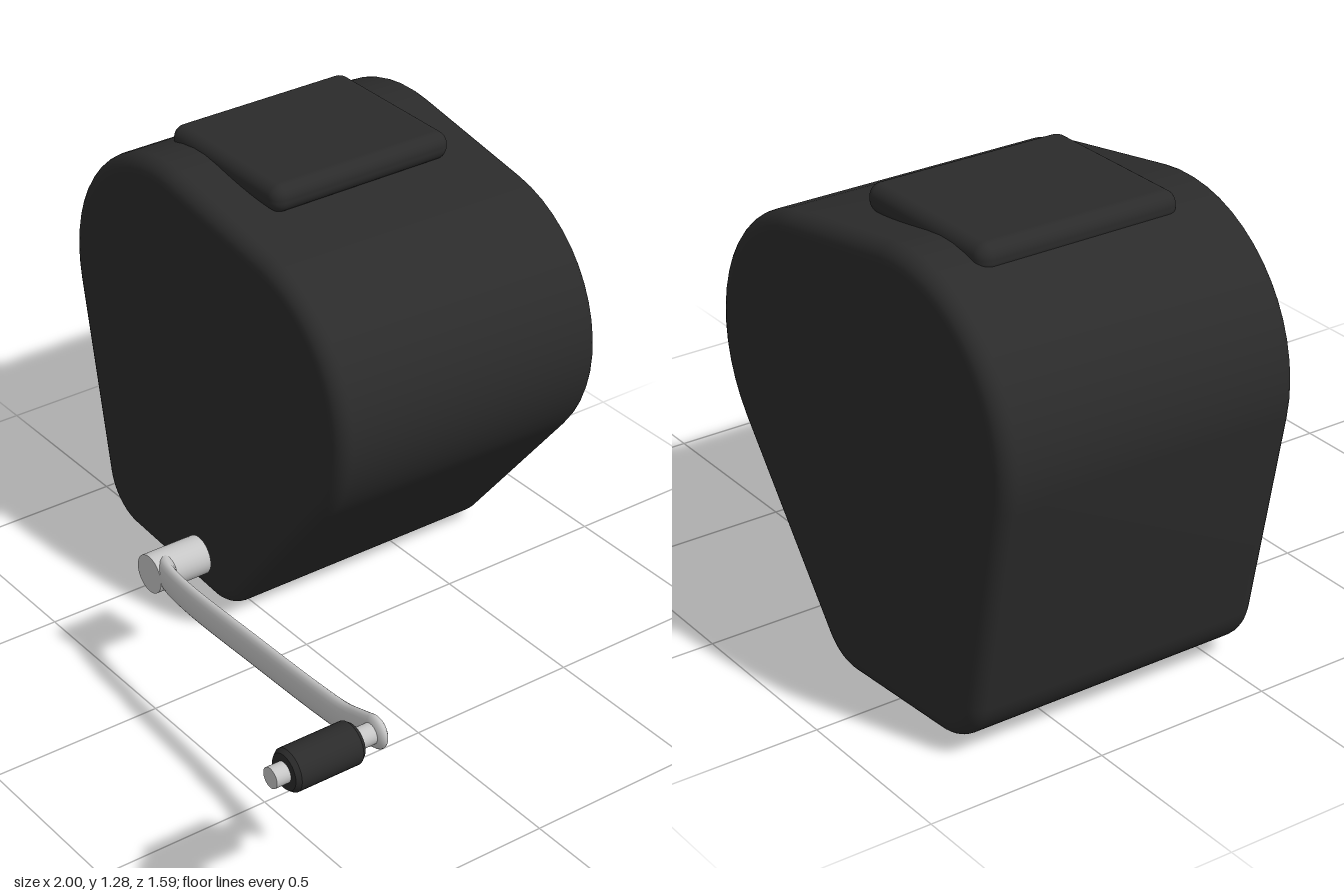
import * as THREE from 'three';
import { RoundedBoxGeometry } from 'three/addons/geometries/RoundedBoxGeometry.js';

const black = new THREE.MeshStandardMaterial({ name: 'black plastic', color: 0x2b2b2b });
const metal = new THREE.MeshStandardMaterial({ name: 'pale metal', color: 0xc6c6c6 });

// Corner circles of the housing profile, counter-clockwise: x, y, radius
const corners = [
  [-0.715, 0.19, 0.16],
  [-0.33, 0.155, 0.152],
  [-0.155, 0.78, 0.41],
  [-0.57, 0.83, 0.43],
];

// Outline points: arcs around the corner circles, joined by their tangents
function outline(inset) {
  const n = corners.length, pts = [], steps = 16;
  const edge = corners.map(([x, y, r], i) => {
    const [x2, y2, r2] = corners[(i + 1) % n];
    const dx = x2 - x, dy = y2 - y;
    return Math.atan2(dy, dx) - Math.acos((r - r2) / Math.hypot(dx, dy));
  });
  corners.forEach(([x, y, r], i) => {
    const start = edge[(i + n - 1) % n];
    let end = edge[i];
    while (end < start) end += Math.PI * 2;
    while (end - start > Math.PI * 2) end -= Math.PI * 2;
    for (let k = 0; k <= steps; k++) {
      const a = start + (end - start) * k / steps;
      pts.push([x + (r - inset) * Math.cos(a), y + (r - inset) * Math.sin(a)]);
    }
  });
  return pts;
}

// Housing skin: outlines stacked from back to front with rounded rims
function housingGeometry(back, front, bevel) {
  const rows = [];
  for (let k = 0; k <= 6; k++) {
    const a = k / 6 * Math.PI / 2;
    rows.push([bevel * (1 - Math.sin(a)), back + bevel * (1 - Math.cos(a))]);
  }
  for (let k = 6; k >= 0; k--) rows.push([rows[k][0], front + back - rows[k][1]]);

  const pos = [], index = [], n = outline(0).length;
  const addRing = ([inset, z]) => {
    const first = pos.length / 3;
    outline(inset).forEach(([x, y]) => pos.push(x, y, z));
    return first;
  };
  rows.forEach(addRing);
  for (let r = 0; r < rows.length - 1; r++) {
    for (let i = 0; i < n; i++) {
      const j = (i + 1) % n, a = r * n + i, b = r * n + j;
      index.push(a, b, b + n, a, b + n, a + n);
    }
  }
  // Flat end faces
  [rows[0], rows[rows.length - 1]].forEach((row, side) => {
    const first = addRing(row), centre = pos.length / 3;
    pos.push(-0.42, 0.65, row[1]);
    for (let i = 0; i < n; i++) {
      const a = first + i, b = first + (i + 1) % n;
      if (side) index.push(centre, a, b);
      else index.push(centre, b, a);
    }
  });
  const g = new THREE.BufferGeometry();
  g.setAttribute('position', new THREE.Float32BufferAttribute(pos, 3));
  g.setIndex(index);
  g.computeVertexNormals();
  return g;
}

function part(name, geometry, material, x = 0, y = 0, z = 0) {
  const m = new THREE.Mesh(geometry, material);
  m.name = name;
  m.position.set(x, y, z);
  return m;
}

// Cylinder lying along z
function rod(radius, length) {
  return new THREE.CylinderGeometry(radius, radius, length, 32).rotateX(Math.PI / 2);
}

export function createModel() {
  const model = new THREE.Group();
  model.name = 'crankBox';

  model.add(part('housing', housingGeometry(-0.79, 0.08, 0.045), black));
  model.add(part('lid', new RoundedBoxGeometry(0.495, 0.08, 0.585, 5, 0.036), black, -0.472, 1.245, -0.358));

  const crank = new THREE.Group();
  crank.name = 'crank';
  model.add(crank);
  crank.add(part('hub', rod(0.055, 0.16), metal, -0.11, 0.35, 0.355));

  // Arm: a tube flattened in z
  const flat = 0.4;
  const path = new THREE.CatmullRomCurve3([
    [-0.1, 0.355, 0.39], [-0.04, 0.365, 0.418], [0.08, 0.375, 0.436], [0.4, 0.403, 0.455],
    [0.7, 0.43, 0.47], [0.82, 0.447, 0.476], [0.89, 0.47, 0.481], [0.94, 0.488, 0.485],
  ].map(([x, y, z]) => new THREE.Vector3(x, y, z / flat)));
  crank.add(part('arm', new THREE.TubeGeometry(path, 64, 0.046, 20).scale(1, 1, flat), metal));
  crank.add(part('armTip', new THREE.SphereGeometry(0.046, 20, 14).scale(1, 1, flat), metal, 0.94, 0.488, 0.485));

  // Turning handle
  crank.add(part('axle', rod(0.028, 0.315), metal, 0.94, 0.488, 0.6375));
  const grip = [[0.027, 0], [0.048, 0], [0.048, 0], [0.057, 0.012], [0.057, 0.012],
    [0.057, 0.193], [0.057, 0.193], [0.048, 0.205], [0.048, 0.205], [0.027, 0.205]]
    .map(([r, h]) => new THREE.Vector2(r, h));
  crank.add(part('grip', new THREE.LatheGeometry(grip, 32).rotateX(Math.PI / 2), black, 0.94, 0.488, 0.55));
  return model;
}
